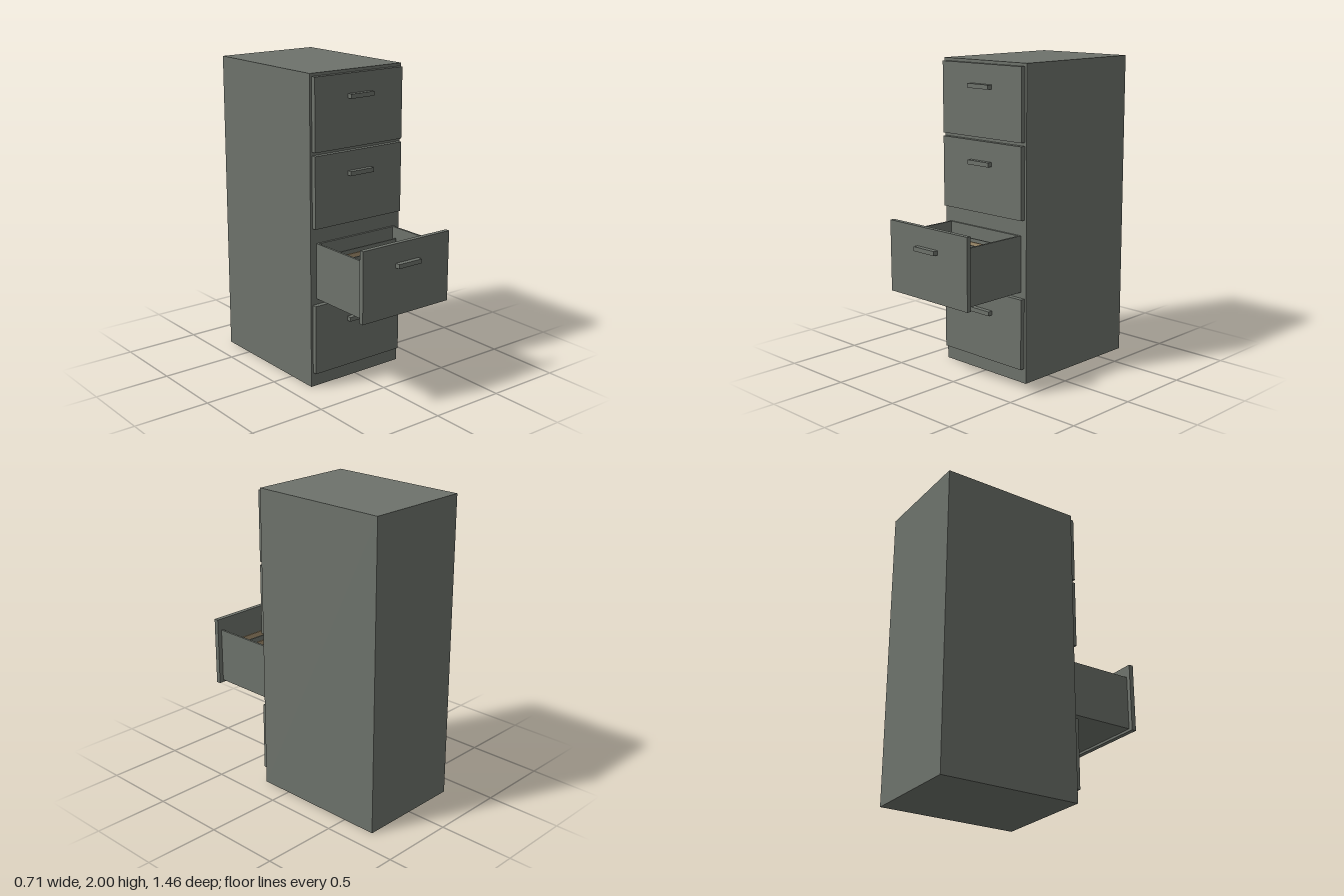
import * as THREE from 'three';

const steel = new THREE.MeshStandardMaterial({ color: 0x6d726b });
steel.name = 'grey green steel';
const manila = new THREE.MeshStandardMaterial({ color: 0xa38f6e });
manila.name = 'manila card';

// Box given by its lower and upper corners
function box(name, [x0, y0, z0], [x1, y1, z1], material = steel) {
  const mesh = new THREE.Mesh(new THREE.BoxGeometry(x1 - x0, y1 - y0, z1 - z0), material);
  mesh.position.set((x0 + x1) / 2, (y0 + y1) / 2, (z0 + z1) / 2);
  mesh.name = name;
  return mesh;
}

const FRONT = 0.21; // z of the cabinet's front face
const PITCH = 0.477; // drawer spacing
const PULL = 0.457; // how far the open drawer is drawn out

// Drawer front panel with its bar handle
function drawerFront(y) {
  const group = new THREE.Group();
  group.add(
    box('drawerPanel', [-0.341, y, FRONT], [0.341, y + 0.455, FRONT + 0.031]),
    box('handle', [-0.09, y + 0.304, FRONT + 0.031], [0.09, y + 0.332, FRONT + 0.063])
  );
  return group;
}

// Open tray: floor, two sides, back and hanging files
function drawerTray(y) {
  const group = new THREE.Group();
  group.name = 'drawerTray';
  const low = y + 0.016, high = y + 0.376;
  const back = FRONT - PULL, front = FRONT;
  group.add(box('trayFloor', [-0.297, low, back], [0.297, low + 0.013, front]));
  for (const side of [-1, 1]) {
    const xs = [side * 0.297, side * 0.311].sort((a, b) => a - b);
    group.add(box('traySide', [xs[0], low, back], [xs[1], high, front]));
  }
  group.add(box('trayBack', [-0.297, low + 0.013, back], [0.297, high, back + 0.013]));

  // Files alternate between grey green and manila
  for (let i = 0; i < 6; i++) {
    const z = 0.262 + i * 0.068 - PULL;
    group.add(box('file', [-0.29, low + 0.013, z - 0.005], [0.29, y + 0.307, z + 0.005],
      i % 2 ? manila : steel));
  }
  return group;
}

export function createModel() {
  const model = new THREE.Group();
  model.name = 'filingCabinet';
  model.add(box('cabinetBody', [-0.356, 0, -0.73], [0.356, 2, FRONT]));

  for (let i = 0; i < 4; i++) {
    const y = 0.095 + i * PITCH;
    const drawer = drawerFront(y);
    drawer.name = `drawer${i + 1}`;
    if (i === 1) {
      drawer.add(drawerTray(y));
      drawer.position.z = PULL;
    }
    model.add(drawer);
  }
  return model;
}
